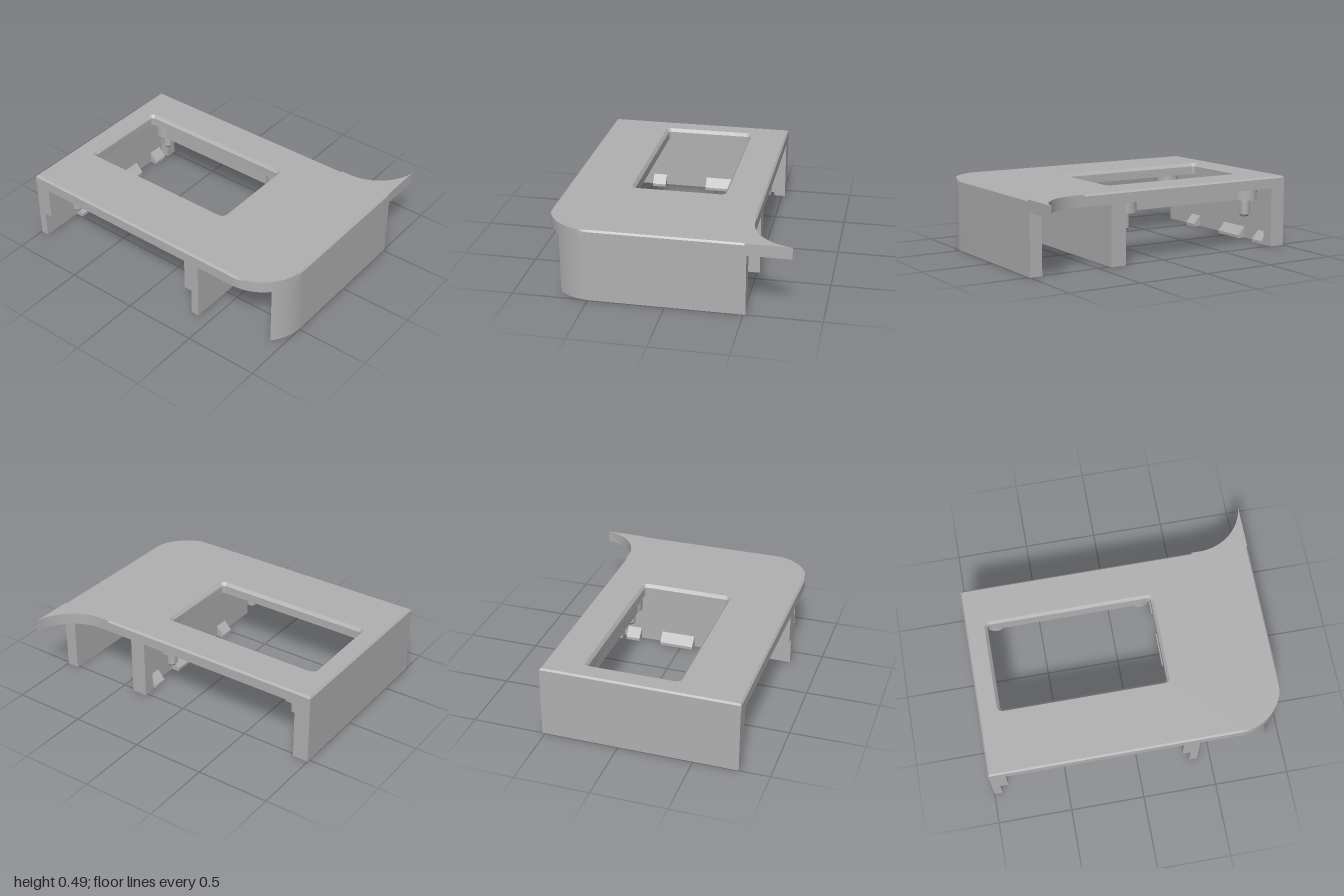
import * as THREE from 'three';
import { toCreasedNormals } from 'three/addons/utils/BufferGeometryUtils.js';

const V = (x, z) => new THREE.Vector2(x, z);

// points along an arc in the x/z plane, angles in degrees
function arc(cx, cz, r, from, to, n) {
  return Array.from({ length: n + 1 }, (_, i) => {
    const a = THREE.MathUtils.degToRad(from + (to - from) * i / n);
    return V(cx + r * Math.cos(a), cz + r * Math.sin(a));
  });
}

// solid standing on y, from stacked outlines (and optional hole outlines)
function solid(outer, hole) {
  const pos = [];
  const push = (...pts) => pts.forEach(([p, y]) => pos.push(p.x, y, p.y));
  const skin = (rings) => {
    for (let k = 0; k + 1 < rings.length; k++) {
      const [lo, hi] = [rings[k], rings[k + 1]];
      lo.pts.forEach((p, i) => {
        const j = (i + 1) % lo.pts.length;
        const a = [p, lo.y], b = [lo.pts[j], lo.y], c = [hi.pts[j], hi.y], d = [hi.pts[i], hi.y];
        push(a, c, b, a, d, c);
      });
    }
  };
  const cap = (ring, inner, up) => {
    const holes = inner ? [inner.pts] : [];
    const all = [ring.pts, ...holes].flat();
    for (const [i, j, k] of THREE.ShapeUtils.triangulateShape(ring.pts.slice(), holes.map(h => h.slice()))) {
      const [a, b, c] = [all[i], all[j], all[k]];
      const area = (b.x - a.x) * (c.y - a.y) - (b.y - a.y) * (c.x - a.x);
      const order = (area > 0) === up ? [a, c, b] : [a, b, c];
      push(...order.map(p => [p, ring.y]));
    }
  };
  skin(outer);
  if (hole) skin(hole);
  cap(outer[0], hole && hole[0], false);
  cap(outer.at(-1), hole && hole.at(-1), true);
  const g = new THREE.BufferGeometry();
  g.setAttribute('position', new THREE.Float32BufferAttribute(pos, 3));
  return toCreasedNormals(g, 0.4);
}

// rounded rectangle running clockwise, for use as a hole
function windowRing(x0, x1, z0, z1, r, y) {
  const pts = [
    ...arc(x0 + r, z0 + r, r, 180, 270, 5), ...arc(x1 - r, z0 + r, r, 270, 360, 5),
    ...arc(x1 - r, z1 - r, r, 0, 90, 5), ...arc(x0 + r, z1 - r, r, 90, 180, 5),
  ];
  return { pts: pts.reverse(), y };
}

export function createModel() {
  const model = new THREE.Group();
  const grey = new THREE.MeshStandardMaterial({ color: 0xb0b0b0 });
  grey.name = 'plain grey';

  const add = (name, geometry, parent = model) => {
    const mesh = new THREE.Mesh(geometry, grey);
    mesh.name = name;
    parent.add(mesh);
    return mesh;
  };
  const box = (name, x0, x1, y0, y1, z0, z1, parent) => {
    const mesh = add(name, new THREE.BoxGeometry(Math.abs(x1 - x0), y1 - y0, z1 - z0), parent);
    mesh.position.set((x0 + x1) / 2, (y0 + y1) / 2, (z0 + z1) / 2);
  };

  // top plate: swept horn at the back, round corner at the front
  const outline = [
    V(-1, -0.52), V(0.61, -0.52), V(0.611, -0.52),
    ...arc(0.67, -0.855, 0.335, 90, 10, 20), V(1, -0.797),
    V(1, -0.501), V(1, -0.5),
    ...arc(0.68, 0.48, 0.32, 0, 90, 24), V(-1, 0.8),
  ];
  // the top edge is trimmed to a small chamfer, except around the horn
  const trimmed = outline.map(p => V(
    Math.max(-0.99, p.y >= -0.5 ? Math.min(p.x, 0.99) : p.x),
    Math.min(0.788, p.x <= 0.61 ? Math.max(p.y, -0.508) : p.y)));
  add('topPlate', solid(
    [{ pts: outline, y: 0.41 }, { pts: outline, y: 0.478 }, { pts: trimmed, y: 0.49 }],
    [windowRing(-0.855, 0.27, -0.25, 0.36, 0.025, 0.41),
      windowRing(-0.855, 0.27, -0.25, 0.36, 0.025, 0.468),
      windowRing(-0.875, 0.288, -0.267, 0.378, 0.04, 0.49)]));

  // outer side wall, following the round corner
  const endAngle = THREE.MathUtils.radToDeg(Math.acos(0.235 / 0.32));
  const sideWall = [V(0.915, -0.515), V(1, -0.515), ...arc(0.68, 0.48, 0.32, 0, endAngle, 12)];
  add('curvedSideWall', solid([{ pts: sideWall, y: 0 }, { pts: sideWall, y: 0.41 }]));

  // pair of mirrored walls with a channel and snap clips on the inside
  for (const side of [-1, 1]) {
    const wall = new THREE.Group();
    wall.name = side < 0 ? 'rightBayWall' : 'middleBayWall';
    model.add(wall);
    const at = t => -0.295 + side * (0.705 - t);
    box('wallPanel', at(0), at(0.055), 0, 0.41, -0.52, 0.797, wall);
    box('upperLedge', at(0.055), at(0.11), 0.185, 0.41, -0.52, 0.797, wall);
    box('channelStop', at(0.055), at(0.11), 0, 0.185, -0.52, -0.44, wall);
    for (const [z, length] of [[0.45, 0.1], [-0.03, 0.24], [-0.36, 0.1]]) {
      const profile = new THREE.Shape([
        V(at(0.055), 0), V(at(0.11), 0), V(at(0.11), 0.02), V(at(0.055), 0.08)]);
      add('snapClip', new THREE.ExtrudeGeometry(profile, { depth: length, bevelEnabled: false }), wall)
        .position.z = z - length / 2;
    }
  }

  // four stepped mounting posts
  const post = toCreasedNormals(new THREE.LatheGeometry([
    V(0, 0.2), V(0.025, 0.2), V(0.035, 0.215), V(0.035, 0.32),
    V(0.085, 0.32), V(0.085, 0.41), V(0, 0.41)], 32), 0.5);
  for (const x of [-0.795, 0.205]) {
    for (const z of [-0.34, 0.63]) add('mountingPost', post).position.set(x, 0, z);
  }

  // stiffening bar behind the window
  box('stiffeningBar', -0.795, 0.205, 0.32, 0.41, -0.34, -0.27);

  return model;
}
